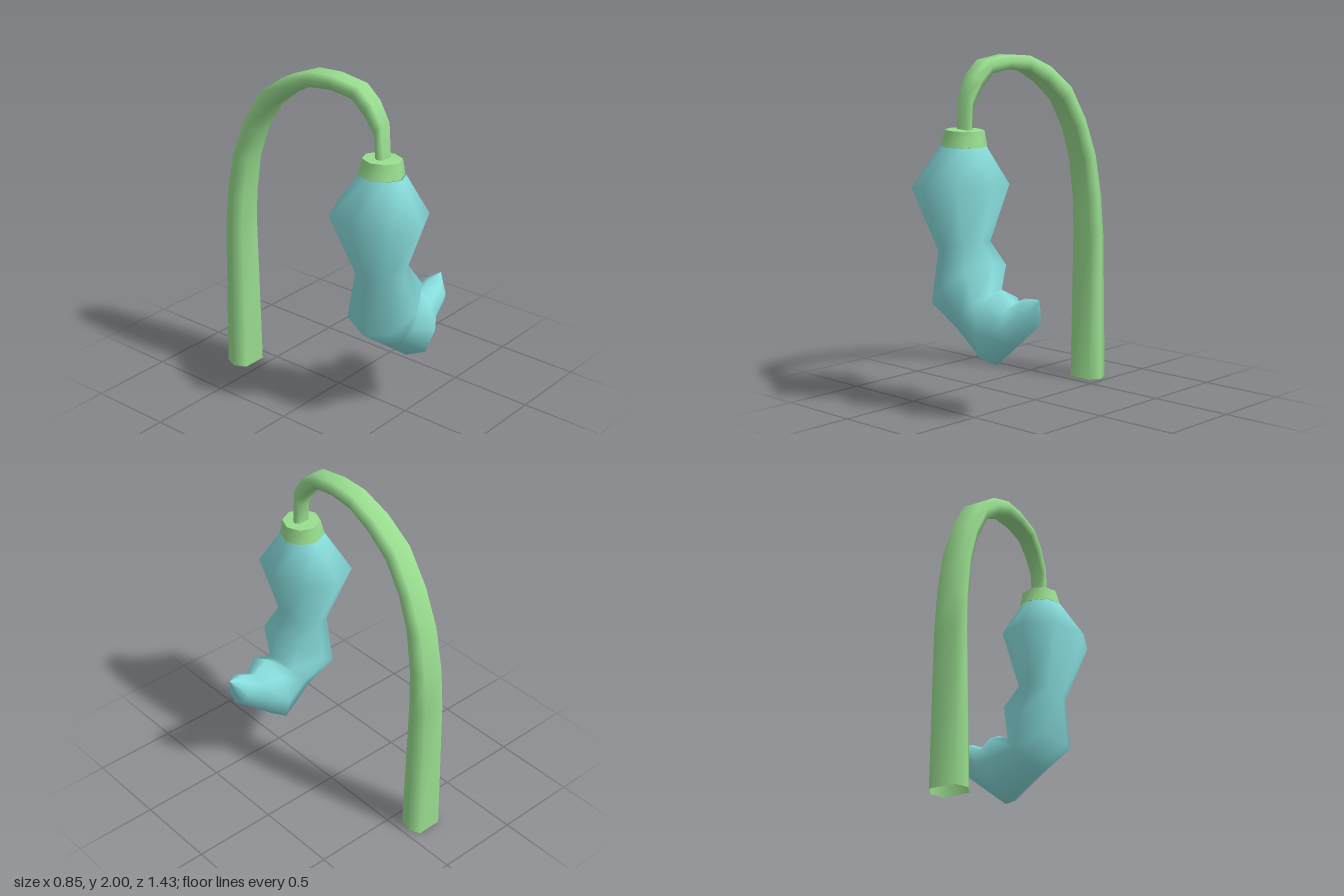
import * as THREE from 'three';
import { toCreasedNormals } from 'three/addons/utils/BufferGeometryUtils.js';

const V = (x, y, z) => new THREE.Vector3(x, y, z);

// Cross-section outlines as [along u, along v]
const OCTAGON = Array.from({ length: 8 }, (_, i) => [Math.cos(i * Math.PI / 4), Math.sin(i * Math.PI / 4)]);
const STALK = [[1, -0.68], [1, 0.68], [0, 1], [-1, 0.68], [-1, -0.68], [0, -1]];

// Skin a series of rings { c, u, v }; u x v points along the series
function loft(rings, outline) {
  const n = outline.length, pos = [], idx = [];
  for (const { c, u, v } of rings) {
    for (const [a, b] of outline) {
      const p = c.clone().addScaledVector(u, a).addScaledVector(v, b);
      pos.push(p.x, p.y, p.z);
    }
  }
  for (let i = 0; i < rings.length - 1; i++) {
    for (let j = 0; j < n; j++) {
      const a = i * n + j, b = i * n + (j + 1) % n;
      idx.push(a, b, b + n, a, b + n, a + n);
    }
  }
  const g = new THREE.BufferGeometry();
  g.setAttribute('position', new THREE.Float32BufferAttribute(pos, 3));
  g.setIndex(idx);
  g.computeVertexNormals();
  return g;
}

// Ring from two opposite points in the x-y plane and a half depth in z
function ring([x1, y1, x2, y2, depth], z = 0.425) {
  const a = V(x1, y1, z), b = V(x2, y2, z);
  return { c: a.clone().add(b).multiplyScalar(0.5), u: a.sub(b).multiplyScalar(0.5), v: V(0, 0, depth) };
}

export function createModel() {
  const group = new THREE.Group();
  const green = new THREE.MeshStandardMaterial({ color: 0x99dd8f, side: THREE.DoubleSide });
  const blue = new THREE.MeshStandardMaterial({ color: 0x88dddd, side: THREE.DoubleSide });
  const add = (name, geometry, material) => {
    const mesh = new THREE.Mesh(geometry, material);
    mesh.name = name;
    group.add(mesh);
  };

  // Arched stalk: outer z, y, inner z, y, half width
  const stalk = [
    [-0.71, 0, -0.56, 0, 0.11],
    [-0.70, 0.88, -0.57, 0.9, 0.095],
    [-0.68, 1.13, -0.56, 1.11, 0.09],
    [-0.63, 1.38, -0.52, 1.36, 0.086],
    [-0.54, 1.60, -0.45, 1.55, 0.082],
    [-0.41, 1.80, -0.34, 1.72, 0.078],
    [-0.24, 1.92, -0.20, 1.83, 0.075],
    [-0.06, 1.99, -0.05, 1.905, 0.072],
    [0.10, 2.0, 0.10, 1.92, 0.068],
    [0.28, 1.975, 0.24, 1.90, 0.063],
    [0.37, 1.90, 0.32, 1.825, 0.058],
    [0.435, 1.79, 0.39, 1.72, 0.053],
    [0.45, 1.58, 0.395, 1.58, 0.05],
  ].map(([zo, yo, zi, yi, w]) => ({
    c: V(-0.14, (yo + yi) / 2, (zo + zi) / 2),
    u: V(0, (yo - yi) / 2, (zo - zi) / 2),
    v: V(-w, 0, 0),
  }));
  add('stalk', loft(stalk, STALK), green);

  // Collar joining stalk and pitcher
  const collar = [
    [-0.145, 1.60, -0.145, 1.60, 0],
    [-0.035, 1.59, -0.25, 1.60, 0.113],
    [-0.02, 1.50, -0.275, 1.51, 0.13],
  ].map(r => ring(r, 0.42));
  add('collar', toCreasedNormals(loft(collar, OCTAGON), 0.9), green);

  // Hanging pitcher, bending into an upturned snout
  const pitcher = [
    [-0.02, 1.50, -0.275, 1.51, 0.13],
    [0.08, 1.29, -0.425, 1.27, 0.292],
    [-0.01, 0.98, -0.28, 0.91, 0.155],
    [0.08, 0.88, -0.30, 0.59, 0.225],
    [0.055, 0.69, -0.12, 0.46, 0.15],
    [0.14, 0.735, 0.10, 0.30, 0.185],
    [0.23, 0.67, 0.25, 0.425, 0.105],
    [0.32, 0.71, 0.385, 0.54, 0.085],
    [0.42, 0.715, 0.42, 0.715, 0],
  ].map(r => ring(r));
  add('pitcher', loft(pitcher, OCTAGON), blue);

  return group;
}
